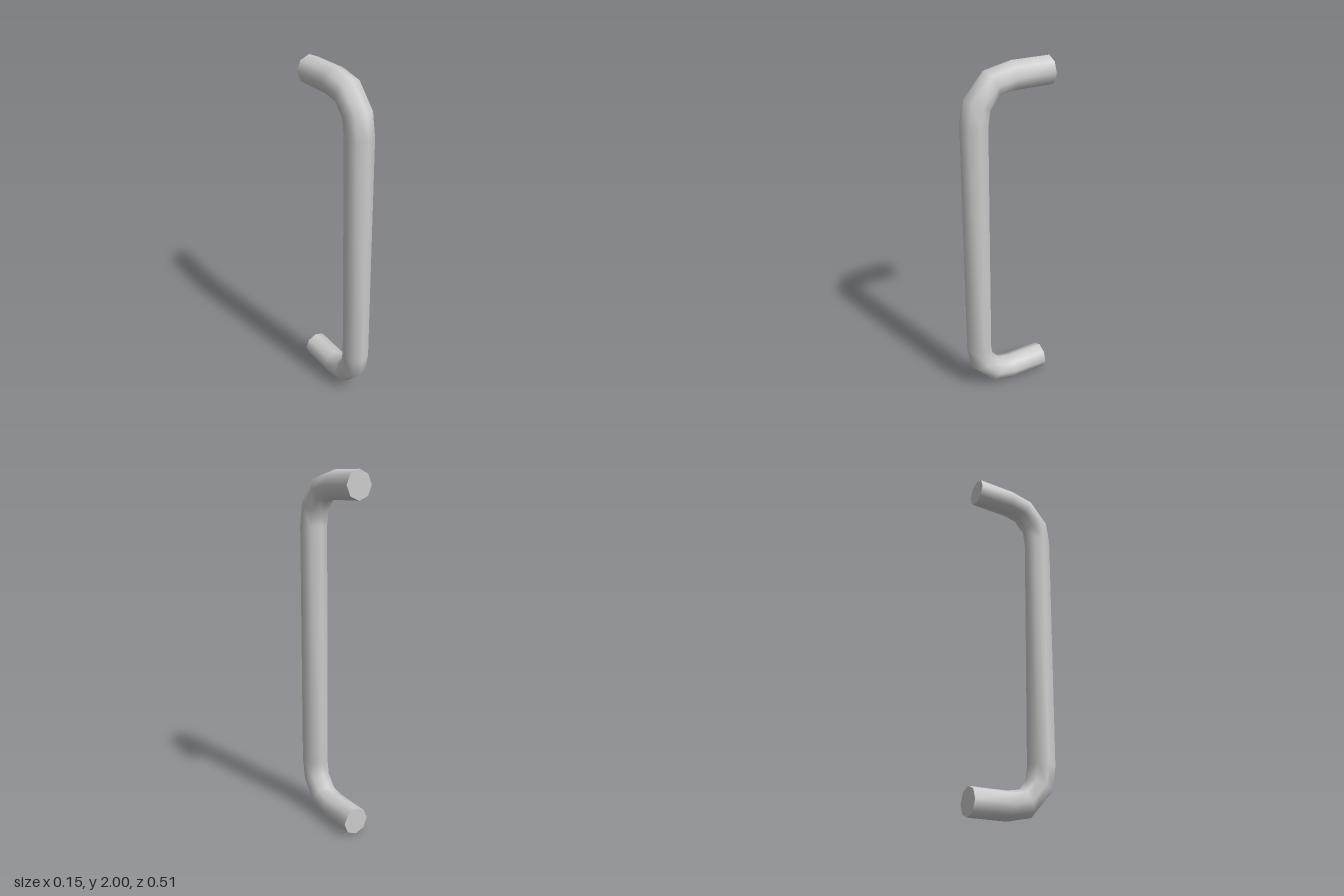
import * as THREE from 'three';

const RADIUS = 0.077, SIDES = 8, BACK = -0.253;

// Upper half of the bar's centreline: [z, y, outward angle from +y towards +z in degrees]
const upper = [
  [BACK, 1.923, 0],
  [-0.035, 1.923, 0],
  [0.075, 1.901, 27],
  [0.158, 1.807, 67],
  [0.176, 1.7, 90],
];

// Tube of octagonal rings, each standing square to the bend
function barGeometry() {
  const lower = upper.map(([z, y, a]) => [z, 2 - y, 180 - a]).reverse();
  const rings = [...upper, ...lower];
  const positions = [], index = [];
  rings.forEach(([z, y, deg], i) => {
    const t = THREE.MathUtils.degToRad(deg);
    for (let j = 0; j < SIDES; j++) {
      const a = (j / SIDES) * Math.PI * 2;
      const out = RADIUS * Math.sin(a);
      positions.push(RADIUS * Math.cos(a), y + out * Math.cos(t), z + out * Math.sin(t));
      if (i === rings.length - 1) continue;
      const p = i * SIDES + j, q = i * SIDES + (j + 1) % SIDES;
      index.push(p, q, p + SIDES, q, q + SIDES, p + SIDES);
    }
  });
  const geometry = new THREE.BufferGeometry();
  geometry.setAttribute('position', new THREE.Float32BufferAttribute(positions, 3));
  geometry.setIndex(index);
  geometry.computeVertexNormals();
  return geometry;
}

export function createModel() {
  const group = new THREE.Group();
  group.name = 'pullHandle';
  const material = new THREE.MeshStandardMaterial({ color: 0xcccccc });

  const bar = new THREE.Mesh(barGeometry(), material);
  bar.name = 'bentBar';
  group.add(bar);

  // Flat mounting ends facing the back
  for (const [name, y] of [['upperEnd', 1.923], ['lowerEnd', 0.077]]) {
    const end = new THREE.Mesh(new THREE.CircleGeometry(RADIUS, SIDES), material);
    end.name = name;
    end.rotation.y = Math.PI;
    end.position.set(0, y, BACK);
    group.add(end);
  }
  return group;
}
